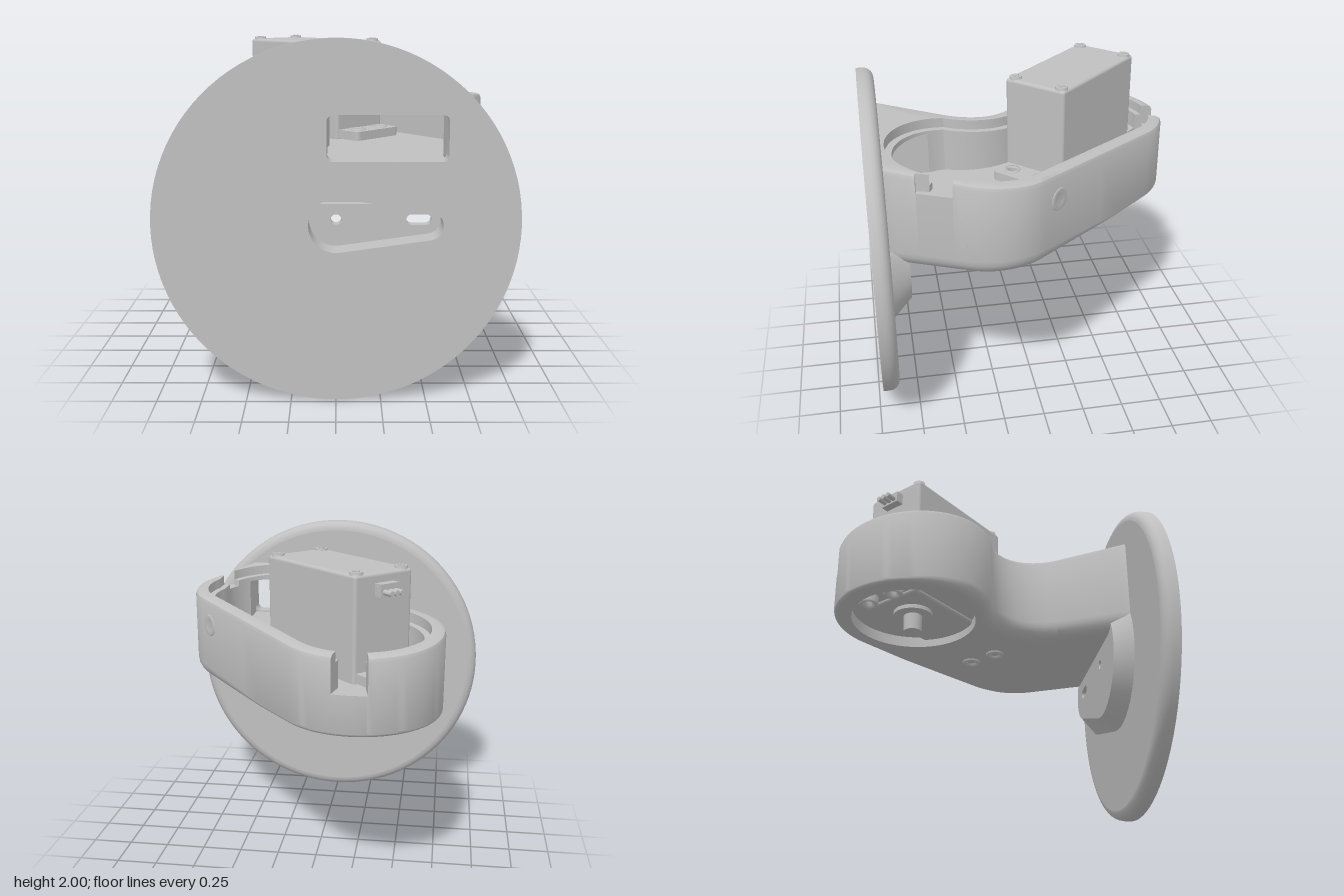
import * as THREE from 'three';
import { toCreasedNormals } from 'three/addons/utils/BufferGeometryUtils.js';
import { RoundedBoxGeometry } from 'three/addons/geometries/RoundedBoxGeometry.js';

const V3 = (x, y, z) => new THREE.Vector3(x, y, z);
const V2 = (x, y) => new THREE.Vector2(x, y);
const rad = THREE.MathUtils.degToRad;
const lerp = THREE.MathUtils.lerp;

// Closed skin through rings of equal length; skip(k, i) leaves openings
function loft(rings, skip = () => false) {
  const pos = [], tri = new THREE.Triangle();
  const put = (a, b, c) => {
    if (tri.set(a, b, c).getArea() > 1e-7) [a, b, c].forEach(v => pos.push(v.x, v.y, v.z));
  };
  for (let k = 0; k < rings.length - 1; k++) {
    const n = rings[k].length;
    for (let i = 0; i < n; i++) {
      if (skip(k, i)) continue;
      const j = (i + 1) % n, p = rings[k], q = rings[k + 1];
      put(p[i], p[j], q[j]);
      put(p[i], q[j], q[i]);
    }
  }
  const g = new THREE.BufferGeometry();
  g.setAttribute('position', new THREE.Float32BufferAttribute(pos, 3));
  return toCreasedNormals(g, 0.6);
}

// Flat sheet with holes, made from 2D outlines
function sheet(outline, holes = []) {
  const s = new THREE.Shape(outline.filter((p, i) => !i || p.distanceTo(outline[i - 1]) > 1e-4));
  s.holes = holes.map(h => new THREE.Path(h));
  return new THREE.ShapeGeometry(s);
}
const circle = (x, y, r, n = 64) => Array.from({ length: n }, (_, i) =>
  V2(x + r * Math.cos(i / n * 2 * Math.PI), y + r * Math.sin(i / n * 2 * Math.PI)));
// Outline around two circles on y = 1
function hull(x1, r1, x2, r2, n = 24) {
  const f = Math.acos((r1 - r2) / (x2 - x1)), out = [];
  for (let i = 0; i <= n; i++) {
    const a = lerp(-f, f, i / n);
    out.push(V2(x2 + r2 * Math.cos(a), 1 + r2 * Math.sin(a)));
  }
  for (let i = 0; i <= n; i++) {
    const a = lerp(f, 2 * Math.PI - f, i / n);
    out.push(V2(x1 + r1 * Math.cos(a), 1 + r1 * Math.sin(a)));
  }
  return out;
}
function roundRect(x0, y0, x1, y1, r) {
  const out = [];
  [[x1 - r, y1 - r], [x0 + r, y1 - r], [x0 + r, y0 + r], [x1 - r, y0 + r]].forEach(([x, y], q) => {
    for (let i = 0; i <= 5; i++) {
      const a = (q + i / 5) * Math.PI / 2;
      out.push(V2(x + r * Math.cos(a), y + r * Math.sin(a)));
    }
  });
  return out;
}
const atZ = (pts, z) => pts.map(p => V3(p.x, p.y, z));

export function createModel() {
  const model = new THREE.Group();
  const grey = new THREE.MeshStandardMaterial({ color: 0xc0c0c0, side: THREE.DoubleSide });
  grey.name = 'grey';
  const add = (name, geo, x = 0, y = 0, z = 0, parent = model) => {
    const m = new THREE.Mesh(geo, grey);
    m.name = name;
    m.position.set(x, y, z);
    parent.add(m);
    return m;
  };

  // Round base plate with window and horn pocket, back edge rounded
  const windowCut = roundRect(-0.05, 1.35, 0.6, 1.6, 0.035);
  const horn = hull(0, 0.15, 0.5, 0.08);
  const holes = [circle(0, 1, 0.03, 20), hull(0.42, 0.0301, 0.5, 0.03, 8)];
  add('plateFront', sheet(circle(0, 1, 1, 96), [windowCut, horn]), 0, 0, 0.97);
  add('plateBack', sheet(circle(0, 1, 0.94, 96), [windowCut, horn]), 0, 0, 0.87);
  const rim = [[1, 0.97], [1, 0.93]];
  for (let i = 1; i <= 5; i++) {
    const a = i / 5 * Math.PI / 2;
    rim.push([0.94 + 0.06 * Math.cos(a), 0.93 - 0.06 * Math.sin(a)]);
  }
  add('plateRim', loft(rim.map(([r, z]) => atZ(circle(0, 1, r, 96), z))));
  add('windowEdge', loft([atZ(windowCut, 0.97), atZ(windowCut, 0.87)]));
  add('hornPocketWall', loft([atZ(horn, 0.97), atZ(horn, 0.82)]));
  add('hornPocketFloor', sheet(horn, holes), 0, 0, 0.82);
  holes.forEach(h => add('screwHole', loft([atZ(h, 0.82), atZ(h, 0.76)])));

  // Sloping boss behind the plate, ending inside the arm
  const low = pts => pts.map(p => V2(p.x, Math.min(p.y, 1.2)));
  const bossTop = low(hull(0, 0.35, 0.5, 0.17));
  add('bossSide', loft([atZ(low(hull(0, 0.43, 0.5, 0.28)), 0.87), atZ(bossTop, 0.76)]));
  add('bossFace', sheet(bossTop, holes), 0, 0, 0.76);

  // Arm outline in x, z with outward normals; t places a point on the front curve of the tray
  const path = [];
  function run(n, f, cut) {
    const list = Array.from({ length: n + 1 }, (_, i) => [i / n, 9]);
    if (cut) {
      const [a, b, y] = cut;
      list.forEach(v => { if (v[0] > a && v[0] < b) v[1] = y; });
      list.push([a, 9], [a, y], [b, y], [b, 9]);
      list.sort((u, v) => u[0] - v[0]);
    }
    list.forEach(([s, max]) => path.push({ ...f(s), max }));
  }
  const arc = (cx, cz, r, a0, a1, sign = 1) => s => {
    const a = rad(lerp(a0, a1, s)), c = Math.cos(a), d = Math.sin(a);
    return { x: cx + r * c, z: cz + r * d, nx: sign * c, nz: sign * d };
  };
  const line = (x0, z0, x1, z1, n0, n1, t0, t1) => s => ({
    x: lerp(x0, x1, s), z: lerp(z0, z1, s), nx: lerp(n0[0], n1[0], s), nz: lerp(n0[1], n1[1], s),
    t: t0 === undefined ? undefined : lerp(t0, t1, s),
  });
  run(8, line(-0.39, 0.87, -0.187, 0.442, [-1, 0], [-0.911, -0.413], 2.782, 3.07));
  run(20, arc(-0.48, 0.31, 0.32, 24.4, -76.3, -1));
  run(44, arc(-0.29, -0.47, 0.485, 103.7, 318.9), [0.723, 0.834, 1.34]);
  run(6, line(0.075, -0.789, 0.756, 0.004, [0.753, -0.657], [0.753, -0.657]));
  run(16, arc(0.44, 0.28, 0.42, -41.1, 24.6));
  run(10, line(0.822, 0.455, 0.632, 0.87, [0.909, 0.417], [1, 0], 0.03, 0.751), [0.157, 0.614, 1.58]);
  const front = path.length;
  run(20, line(0.632, 0.87, -0.39, 0.87, [1, 0], [-1, 0], 0.751, 2.782));
  const isFront = i => i >= front && i < path.length - 1;

  const top = z => 1.7 - (0.87 - z) * 0.083;
  const ring = (d, y, inner) => path.map(p => {
    const D = typeof d === 'function' ? d(p.z) : d;
    let x = p.x - D * p.nx, z = p.z - D * p.nz;
    if (inner && p.t !== undefined) {
      x = 0.315 + (0.51 - D) * Math.cos(p.t);
      z = 0.45 + (0.48 - D) * Math.sin(p.t);
    }
    return V3(x, Math.min(y(z, p.z), p.max), z);
  });

  // Arm shell: filleted bottom, outer wall, rim, lid ledge, inner wall
  const fillet = z => lerp(0.03, 0.1, THREE.MathUtils.clamp((z + 0.5) / 0.6, 0, 1));
  const floorY = 1.34, outer = [], inner = [];
  for (let i = 0; i <= 5; i++) {
    const a = i / 5 * Math.PI / 2;
    outer.push(ring(z => fillet(z) * (1 - Math.sin(a)), (z, z0) => 1.1 + fillet(z0) * (1 - Math.cos(a))));
  }
  outer.push(ring(0, z => top(z) - 0.03), ring(0.009, z => top(z) - 0.009), ring(0.03, z => top(z)));
  inner.push(ring(0.08, z => top(z), true), ring(0.08, z => top(z) - 0.06, true),
    ring(0.12, z => top(z) - 0.06, true), ring(0.12, z => Math.min(1.6, top(z) - 0.07), true),
    ring(0.12, () => floorY, true));
  const rings = [...outer, ...inner];
  add('armShell', loft(rings, (k, i) => isFront(i) && (k < outer.length - 1 || k === rings.length - 2)));

  // Tunnel from the tray to the plate window
  const sill = inner[4].slice(front), head = inner[3].slice(front);
  const mouth = [...head, ...sill.slice().reverse()];
  add('windowTunnel', loft([mouth, mouth.map(p => V3(p.x, p.y, 0.88))]));

  // Tray floor, underside and the round recess for the output shaft
  const flat = r => r.map(p => V2(p.x, p.z));
  const lay = g => g.rotateX(Math.PI / 2);
  add('trayFloor', lay(sheet(flat(inner[4]))), 0, floorY, 0);
  add('underside', lay(sheet(flat(outer[0]), [circle(-0.29, -0.47, 0.38)])), 0, 1.1, 0);
  add('recessWall', new THREE.CylinderGeometry(0.38, 0.38, 0.07, 64, 1, true), -0.29, 1.135, -0.47);
  add('recessCeiling', lay(new THREE.CircleGeometry(0.38, 64)), -0.29, 1.17, -0.47);

  // Countersunk hole on the long side wall
  const sink = add('sideHole', new THREE.LatheGeometry(
    [V2(0, 0.002), V2(0.028, 0.002), V2(0.03, 0.004), V2(0.062, 0.008), V2(0.068, 0)], 32), 0.694, 1.47, -0.08);
  sink.quaternion.setFromUnitVectors(V3(0, 1, 0), V3(0.753, 0, -0.657).normalize());

  // Servo, turned 45 degrees
  const servo = new THREE.Group();
  servo.name = 'servo';
  servo.position.set(-0.14, 0, -0.33);
  servo.rotation.y = -Math.PI / 4;
  model.add(servo);
  const part = (name, geo, x, y, z) => add(name, geo, x, y, z, servo);
  part('servoBody', new RoundedBoxGeometry(0.82, 0.79, 0.41, 2, 0.02), 0, 1.545, 0);
  const corners = (x, z, f) => [-x, x].forEach(a => [-z, z].forEach(b => f(a, b)));
  const ears = new THREE.Shape(roundRect(-0.57, -0.19, 0.57, 0.19, 0.03));
  corners(0.49, 0.1, (x, z) => ears.holes.push(new THREE.Path(circle(x, z, 0.03, 20))));
  part('servoEars', lay(new THREE.ExtrudeGeometry(ears, { depth: 0.055, bevelEnabled: false })), 0, 1.4, 0);
  const collar = [V2(0.03, 0), V2(0.03, 0.015), V2(0.048, 0.015), V2(0.048, 0)];
  corners(0.49, 0.1, (x, z) => {
    part('earCollar', new THREE.LatheGeometry(collar, 20), x, 1.395, z);
    part('screwBoss', new THREE.LatheGeometry(
      [V2(0.025, 0.05), V2(0.025, 0), V2(0.05, -0.012), V2(0.06, 0), V2(0.06, 0.08)], 20), x, x > 0 ? 1.1 : 1.13, z);
  });
  // Cover screws with crossed slots drawn as thin bars
  corners(0.365, 0.16, (x, z) => {
    part('coverScrew', new THREE.CylinderGeometry(0.036, 0.04, 0.02, 20), x, 1.942, z);
    [0, Math.PI / 2].forEach(a => {
      part('screwCross', new THREE.BoxGeometry(0.045, 0.006, 0.012), x, 1.953, z).rotation.y = a;
    });
  });
  // Output shaft under the arm
  part('shaftCollar', new THREE.CylinderGeometry(0.12, 0.12, 0.04, 32), -0.205, 1.145, 0);
  part('outputShaft', new THREE.CylinderGeometry(0.058, 0.055, 0.14, 24), -0.205, 1.09, 0);
  // Cable plug at the back end
  part('cablePlug', new THREE.BoxGeometry(0.06, 0.07, 0.13), -0.43, 1.85, 0);
  for (let i = -1; i <= 1; i++) {
    part('wire', new THREE.CylinderGeometry(0.016, 0.016, 0.07, 10), -0.485, 1.84, i * 0.037).rotation.z = Math.PI / 2;
  }
  return model;
}
